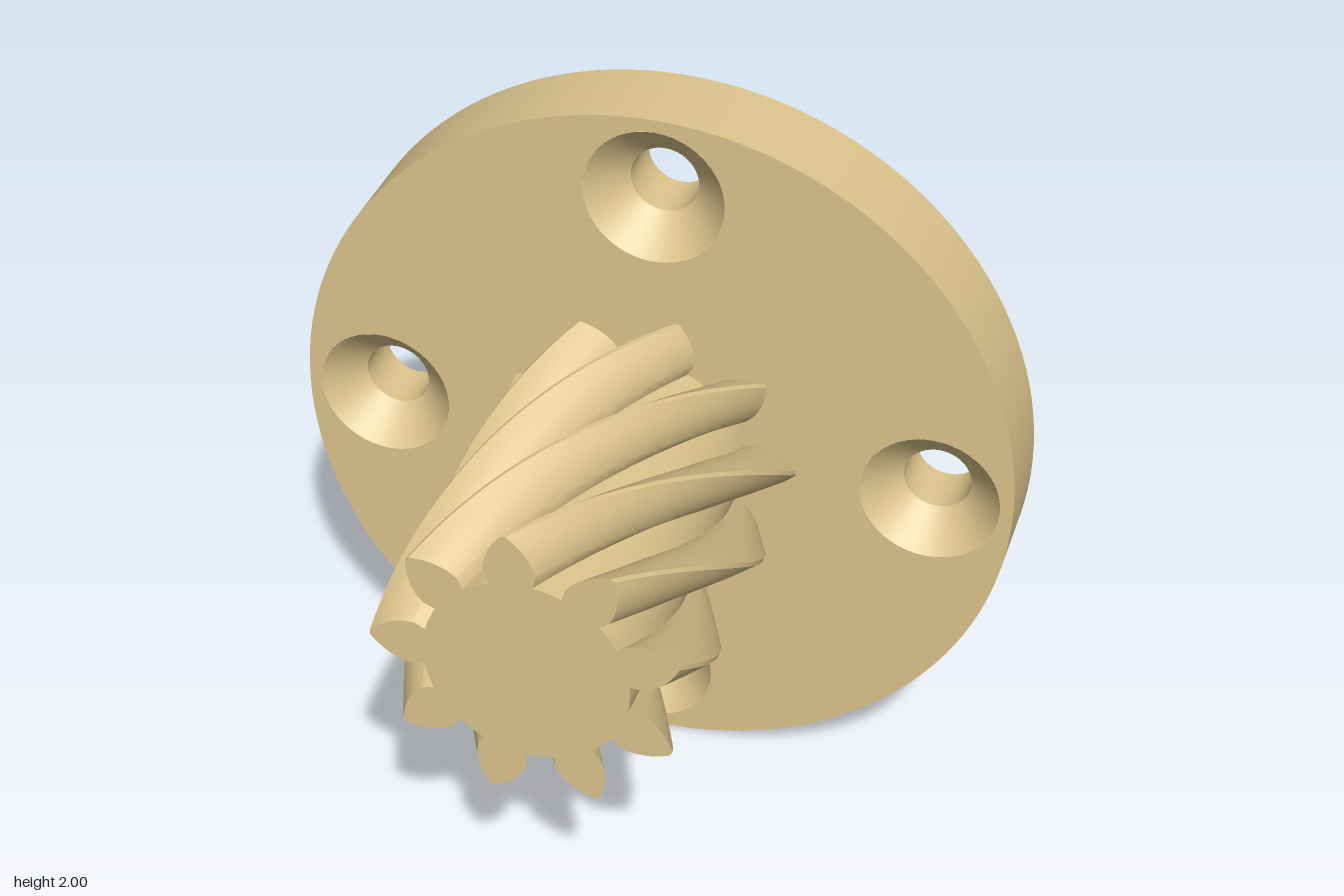
import * as THREE from 'three';
import { toCreasedNormals } from 'three/addons/utils/BufferGeometryUtils.js';

const BACK = -0.625, FACE = -0.375, FRONT = 0.625;
const BORE = 0.092, SINK = 0.19, BOLT_CIRCLE = 0.775, BORE_END = 0.35;
const TEETH = 9, DEG = Math.PI / 180, TWIST = 97 * DEG, PHASE = 97 * DEG;

const material = new THREE.MeshStandardMaterial({ color: 0xdcc48c });

function add(parent, name, geometry) {
  const mesh = new THREE.Mesh(geometry, material);
  mesh.name = name;
  parent.add(mesh);
  return mesh;
}

// Surface of revolution about z; rising z faces outward, falling z faces inward
function turned(...points) {
  const profile = points.map(([r, z]) => new THREE.Vector2(r, z));
  return new THREE.LatheGeometry(profile, r128(points)).rotateX(Math.PI / 2);
}
const r128 = (points) => (points[0][0] > 0.5 ? 128 : 48);

const boltCentres = [0, 1, 2, 3].map((i) => [
  BOLT_CIRCLE * Math.cos(i * Math.PI / 2), BOLT_CIRCLE * Math.sin(i * Math.PI / 2)]);

// Flat disc face with bolt holes and a centre hole
function discFace(holeRadius) {
  const shape = new THREE.Shape().absarc(0, 0, 1, 0, Math.PI * 2);
  for (const [x, y] of boltCentres) {
    shape.holes.push(new THREE.Path().absarc(x, y, holeRadius, 0, Math.PI * 2, true));
  }
  shape.holes.push(new THREE.Path().absarc(0, 0, BORE, 0, Math.PI * 2, true));
  return new THREE.ShapeGeometry(shape, 64);
}

// Outline of the pinion: undercut roots, rounded flanks, narrow tips
function gearOutline() {
  const flank = new THREE.SplineCurve([
    [0.302, 12.8], [0.335, 10.6], [0.372, 6.6], [0.41, 1],
  ].map(([r, a]) => new THREE.Vector2(r, a))).getPoints(9).map((p) => [p.x, p.y]);
  const rise = [[0.27, 11.7], ...flank];
  const tooth = [
    ...rise.map(([r, a]) => [r, -a]),
    ...rise.reverse(),
    [0.27, 16], [0.27, 20], [0.27, 24],
  ];
  const outline = [];
  for (let t = 0; t < TEETH; t++) {
    for (const [r, a] of tooth) outline.push([r, PHASE + (a + t * 360 / TEETH) * DEG]);
  }
  return outline;
}

// Helical side walls, swept along z with a steady twist
function helicalWalls(outline, steps = 56) {
  const positions = [], index = [], n = outline.length;
  for (let j = 0; j <= steps; j++) {
    const z = FACE + (FRONT - FACE) * j / steps;
    for (const [r, a] of outline) {
      const angle = a - TWIST * (FRONT - z);
      positions.push(r * Math.cos(angle), r * Math.sin(angle), z);
    }
  }
  for (let j = 0; j < steps; j++) {
    for (let i = 0; i < n; i++) {
      const k = (i + 1) % n;
      const a = j * n + i, b = j * n + k, c = a + n, d = b + n;
      index.push(a, b, d, a, d, c);
    }
  }
  const geometry = new THREE.BufferGeometry();
  geometry.setAttribute('position', new THREE.Float32BufferAttribute(positions, 3));
  geometry.setIndex(index);
  return toCreasedNormals(geometry, 35 * DEG);
}

export function createModel() {
  const model = new THREE.Group();
  model.name = 'flangedHelicalPinion';
  model.position.y = 1;

  // Flange disc
  const flange = new THREE.Group();
  flange.name = 'flange';
  model.add(flange);
  add(flange, 'flangeRim', turned([1, BACK], [1, FACE]));
  add(flange, 'flangeFrontFace', discFace(SINK)).position.z = FACE;
  add(flange, 'flangeBackFace', discFace(BORE).rotateY(Math.PI)).position.z = BACK;

  // Countersunk bolt holes
  const sinkFloor = FACE - (SINK - BORE);
  for (const [x, y] of boltCentres) {
    const hole = new THREE.Group();
    hole.name = 'boltHole';
    hole.position.set(x, y, 0);
    add(hole, 'countersink', turned([SINK, FACE], [BORE, sinkFloor]));
    add(hole, 'boltBore', turned([BORE, sinkFloor], [BORE, BACK]));
    flange.add(hole);
  }

  // Blind centre bore, open at the back
  add(model, 'centreBore', turned([BORE, BORE_END], [BORE, BACK]));
  add(model, 'centreBoreEnd', new THREE.CircleGeometry(BORE, 48).rotateY(Math.PI))
    .position.z = BORE_END;

  // Helical pinion
  const pinion = new THREE.Group();
  pinion.name = 'pinion';
  model.add(pinion);
  const outline = gearOutline();
  add(pinion, 'helicalTeeth', helicalWalls(outline));
  const endShape = new THREE.Shape(outline.map(([r, a]) =>
    new THREE.Vector2(r * Math.cos(a), r * Math.sin(a))));
  add(pinion, 'pinionEndFace', new THREE.ShapeGeometry(endShape)).position.z = FRONT;

  return model;
}
